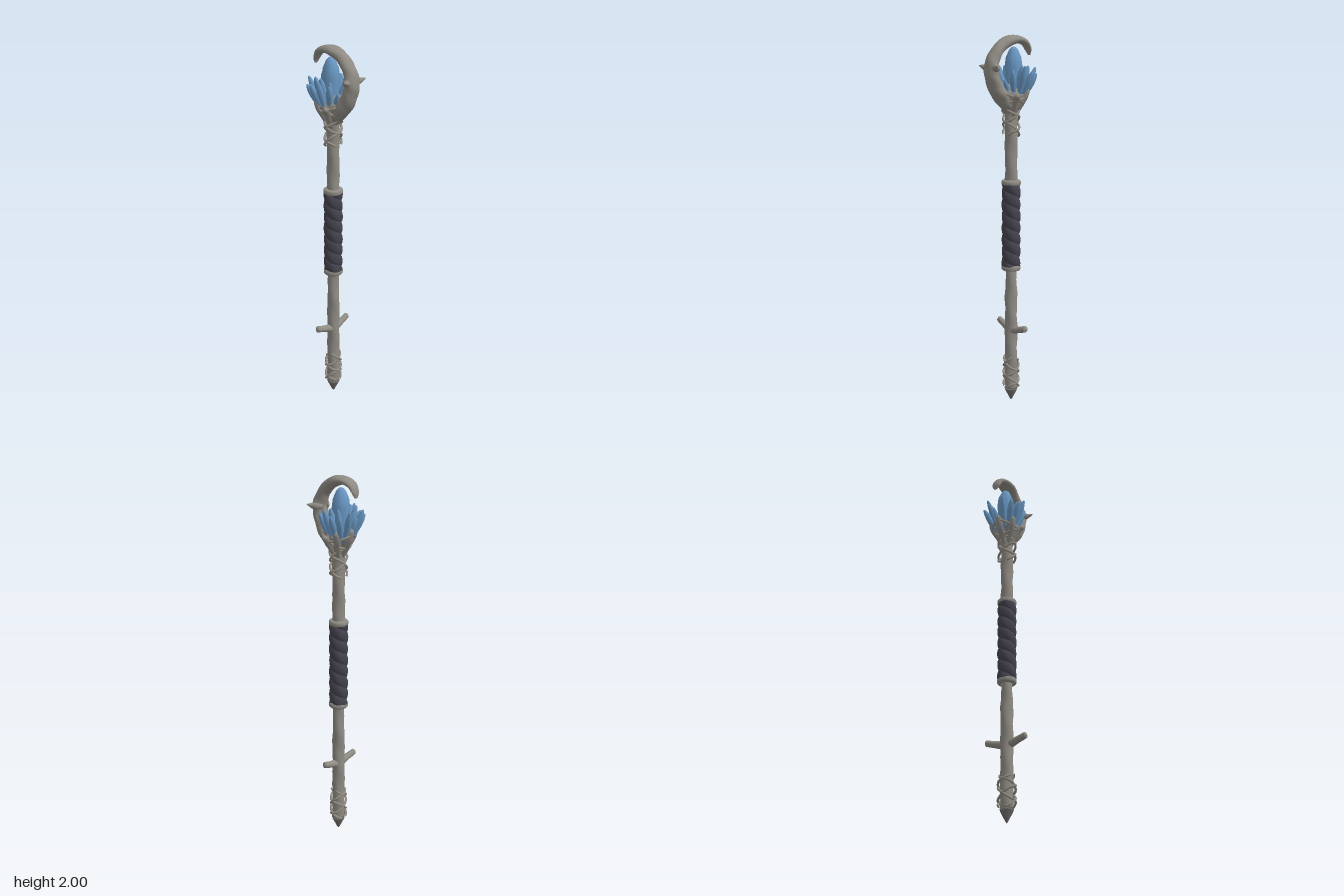
import * as THREE from 'three';

const AXIS_Z = -0.016; // the shaft sits slightly behind the centre

const material = (name, color, extra) => new THREE.MeshStandardMaterial({ name, color, ...extra });

// Sweeps an elliptical section along a spline. Stations are [x, y, z, halfWidth, halfDepth].
function sweep(stations, { ref = [1, 0, 0], rings = 40, sides = 20, bump = () => 1 } = {}) {
  const path = new THREE.CatmullRomCurve3(stations.map(s => new THREE.Vector3(s[0], s[1], s[2])));
  const size = new THREE.CatmullRomCurve3(stations.map(s => new THREE.Vector3(s[3], s[4], 0)));
  const pos = [], index = [];
  for (let i = 0; i <= rings; i++) {
    const t = i / rings;
    const p = path.getPoint(t), r = size.getPoint(t);
    const T = path.getTangent(t);
    const S = new THREE.Vector3(...ref);
    S.addScaledVector(T, -S.dot(T)).normalize();
    const U = new THREE.Vector3().crossVectors(T, S);
    for (let j = 0; j < sides; j++) {
      const a = (j / sides) * Math.PI * 2, k = bump(a, p.y);
      const v = p.clone()
        .addScaledVector(S, Math.max(r.x, 0.001) * k * Math.cos(a))
        .addScaledVector(U, Math.max(r.y, 0.001) * k * Math.sin(a));
      pos.push(v.x, v.y, v.z);
      if (i < rings) {
        const a0 = i * sides + j, a1 = i * sides + (j + 1) % sides;
        index.push(a0, a1, a0 + sides, a1, a1 + sides, a0 + sides);
      }
    }
  }
  // End caps
  for (const [base, t, flip] of [[0, 0, true], [rings * sides, 1, false]]) {
    const c = path.getPoint(t), n = pos.length / 3;
    pos.push(c.x, c.y, c.z);
    for (let j = 0; j < sides; j++) {
      const a = base + j, b = base + (j + 1) % sides;
      if (flip) index.push(n, b, a); else index.push(n, a, b);
    }
  }
  const g = new THREE.BufferGeometry();
  g.setAttribute('position', new THREE.Float32BufferAttribute(pos, 3));
  g.setIndex(index);
  g.computeVertexNormals();
  return g;
}

export function createModel() {
  const model = new THREE.Group();
  model.name = 'staff';
  const wood = material('weathered wood', 0x8f8b84);
  const vine = material('vine', 0x928c82);
  const leather = material('dark leather', 0x44434e);
  const crystal = material('blue crystal', 0x6a98c4);
  const metal = material('grey spike', 0x706e6b);

  const add = (name, geometry, mat, parent = model) => {
    const m = new THREE.Mesh(geometry, mat);
    m.name = name;
    parent.add(m);
    return m;
  };
  const gnarl = (a, y) => 1 + 0.045 * Math.sin(y * 31 + a * 2) + 0.03 * Math.sin(y * 67 - a * 3);

  // Shaft with a gently uneven surface
  add('shaft', sweep([
    [0, 0.07, AXIS_Z, 0.034, 0.034], [0, 0.6, AXIS_Z, 0.033, 0.033],
    [0, 1.1, AXIS_Z, 0.033, 0.033], [0, 1.66, AXIS_Z, 0.033, 0.033],
  ], { rings: 120, bump: gnarl }), wood);

  // Pointed foot
  const foot = add('footSpike', new THREE.LatheGeometry(
    [[0, 0], [0.008, 0.01], [0.034, 0.062], [0.036, 0.072], [0, 0.08]].map(p => new THREE.Vector2(...p)), 20), metal);
  foot.position.z = AXIS_Z;

  // Leather grip: lumpy spiral wrapping
  add('grip', sweep([
    [0, 0.765, AXIS_Z, 0.044, 0.043], [0, 0.9, AXIS_Z, 0.044, 0.043],
    [0, 1.08, AXIS_Z, 0.044, 0.043], [0, 1.215, AXIS_Z, 0.044, 0.043],
  ], {
    rings: 110, sides: 32,
    bump: (a, y) => 0.97 + 0.2 * Math.sqrt(Math.abs(Math.sin(y / 0.064 * Math.PI + a))) + 0.02 * Math.sin(5 * a + y * 40),
  }), leather);

  // Collars at both ends of the grip
  for (const y of [0.757, 1.221]) {
    const collar = add('gripCollar', new THREE.LatheGeometry(
      [[0.03, -0.015], [0.047, -0.014], [0.052, -0.007], [0.052, 0.007], [0.047, 0.014], [0.03, 0.015]]
        .map(p => new THREE.Vector2(...p)), 24), wood);
    collar.position.set(0, y, AXIS_Z);
  }

  // Twig crossing the lower shaft
  add('crossTwig', sweep([
    [-0.125, 0.437, -0.024, 0.004, 0.004], [-0.118, 0.436, -0.024, 0.015, 0.017],
    [-0.07, 0.423, -0.02, 0.018, 0.018], [0, 0.408, AXIS_Z, 0.024, 0.024],
    [0.07, 0.42, -0.02, 0.018, 0.018], [0.118, 0.434, -0.024, 0.015, 0.017],
    [0.125, 0.435, -0.024, 0.004, 0.004],
  ], { ref: [0, 0, 1], rings: 48 }), wood);

  // Crossing vine strands: four mirrored helices around the shaft
  function vines(name, y0, y1, pitch, radiusX, radiusZ, thickness) {
    const group = new THREE.Group();
    group.name = name;
    for (const dir of [-1, 1]) for (const phase of [0, Math.PI]) {
      const pts = [];
      for (let i = 0; i <= 44; i++) {
        const y = y0 + (y1 - y0) * i / 44;
        const a = phase + dir * (y - y0 - 0.03) / pitch * Math.PI * 2;
        pts.push(new THREE.Vector3(radiusX(y) * Math.cos(a), y + 0.006 * Math.sin(a * 2 + phase), AXIS_Z + radiusZ(y) * Math.sin(a)));
      }
      add('strand', new THREE.TubeGeometry(new THREE.CatmullRomCurve3(pts), 110, thickness, 7), vine, group);
    }
    model.add(group);
  }
  vines('lowerVines', 0.08, 0.25, 0.15, y => 0.047 - (y > 0.2 ? (y - 0.2) * 0.25 : 0), () => 0.037, 0.0065);
  const flare = y => Math.max(0, y - 1.6);
  vines('upperVines', 1.475, 1.7, 0.16, y => 0.051 + flare(y) * 0.33, y => 0.036 + flare(y) * 0.56, 0.0065);

  // Flared cup holding the crystals
  add('cup', sweep([
    [0, 1.55, AXIS_Z, 0.03, 0.03], [0, 1.6, AXIS_Z, 0.036, 0.036],
    [0, 1.65, -0.012, 0.058, 0.062], [0, 1.69, -0.016, 0.072, 0.08],
    [0, 1.705, -0.02, 0.055, 0.06], [0, 1.7, -0.02, 0.004, 0.004],
  ], { rings: 40, bump: (a, y) => 1 + (y > 1.6 ? 0.05 * Math.sin(5 * a) : 0) }), wood);

  // Root fingers gripping the crystal base
  for (const [deg, top] of [[15, 1.70], [165, 1.70], [215, 1.725], [270, 1.735], [325, 1.725]]) {
    const c = Math.cos(deg * Math.PI / 180), s = -Math.sin(deg * Math.PI / 180);
    const at = (r, y, w) => [c * r, y, AXIS_Z - s * r * -1, w, w];
    add('rootFinger', sweep([
      at(0.025, 1.58, 0.01), at(0.045, 1.63, 0.018), at(0.07, 1.675, 0.02),
      at(0.085, top - 0.015, 0.016), at(0.088, top, 0.003),
    ].map(p => [p[0], p[1], 2 * AXIS_Z - p[2], p[3], p[4]])
      .map(p => (deg > 180 ? [p[0], p[1], -Math.abs(p[2] - AXIS_Z) + AXIS_Z, p[3], p[4]] : p)),
    { ref: [-s, 0, c], rings: 24, sides: 12 }), wood);
  }

  // Curled hook sweeping from the front over the crystals
  add('hook', sweep([
    [0, 1.59, -0.01, 0.025, 0.02], [0, 1.645, 0.02, 0.05, 0.036],
    [0, 1.7, 0.064, 0.052, 0.042], [0, 1.76, 0.1, 0.046, 0.036],
    [0, 1.83, 0.112, 0.046, 0.035], [0, 1.89, 0.092, 0.038, 0.032],
    [0, 1.94, 0.048, 0.037, 0.029], [0, 1.967, -0.005, 0.043, 0.028],
    [0, 1.972, -0.06, 0.038, 0.021], [0, 1.955, -0.105, 0.033, 0.017],
    [0, 1.92, -0.128, 0.026, 0.011], [0, 1.892, -0.134, 0.01, 0.003],
  ], { rings: 90, sides: 24, bump: (a, y) => 1 + 0.03 * Math.sin(y * 90 + 2 * a) }), wood);

  // Thorns on both sides of the hook
  for (const s of [-1, 1]) {
    add('hookThorn', sweep([
      [s * 0.01, 1.825, 0.105, 0.028, 0.034], [s * 0.035, 1.828, 0.112, 0.022, 0.026],
      [s * 0.055, 1.833, 0.124, 0.013, 0.013], [s * 0.08, 1.84, 0.132, 0.002, 0.002],
    ], { ref: [0, 1, 0], rings: 20, sides: 14 }), wood);
  }

  // Crystal cluster: one tall core and two leaning rings
  const cluster = new THREE.Group();
  cluster.name = 'crystalCluster';
  model.add(cluster);
  const shard = new THREE.LatheGeometry(
    [[0, 0], [0.6, 0.02], [0.82, 0.3], [1, 0.62], [0.86, 0.8], [0.5, 0.94], [0.25, 0.985], [0, 1]]
      .map(p => new THREE.Vector2(...p)), 8);
  const up = new THREE.Vector3(0, 1, 0);
  function grow(name, from, to, radius) {
    const a = new THREE.Vector3(...from), d = new THREE.Vector3(...to).sub(a);
    const m = add(name, shard, crystal, cluster);
    m.position.copy(a);
    m.scale.set(radius, d.length(), radius);
    m.quaternion.setFromUnitVectors(up, d.normalize());
  }
  grow('coreCrystal', [0, 1.65, -0.03], [0, 1.937, -0.032], 0.048);
  // Outer tips as x, y, z, radius
  const tips = [
    [0.05, 1.83, -0.14, 0.016], [0.095, 1.8, -0.11, 0.017], [0.116, 1.81, -0.066, 0.017],
    [0.118, 1.84, -0.02, 0.017], [0.088, 1.81, 0.037, 0.017], [0.052, 1.77, 0.066, 0.014],
    [0.07, 1.84, -0.075, 0.018], [0.078, 1.84, -0.03, 0.018], [0.062, 1.82, 0.02, 0.017],
    [0.028, 1.79, -0.118, 0.017],
  ];
  for (const s of [-1, 1]) for (const [x, y, z, r] of tips) {
    grow('sideCrystal', [s * x * 0.35, 1.655, -0.03 + (z + 0.03) * 0.35], [s * x, y, z], r);
  }
  return model;
}
